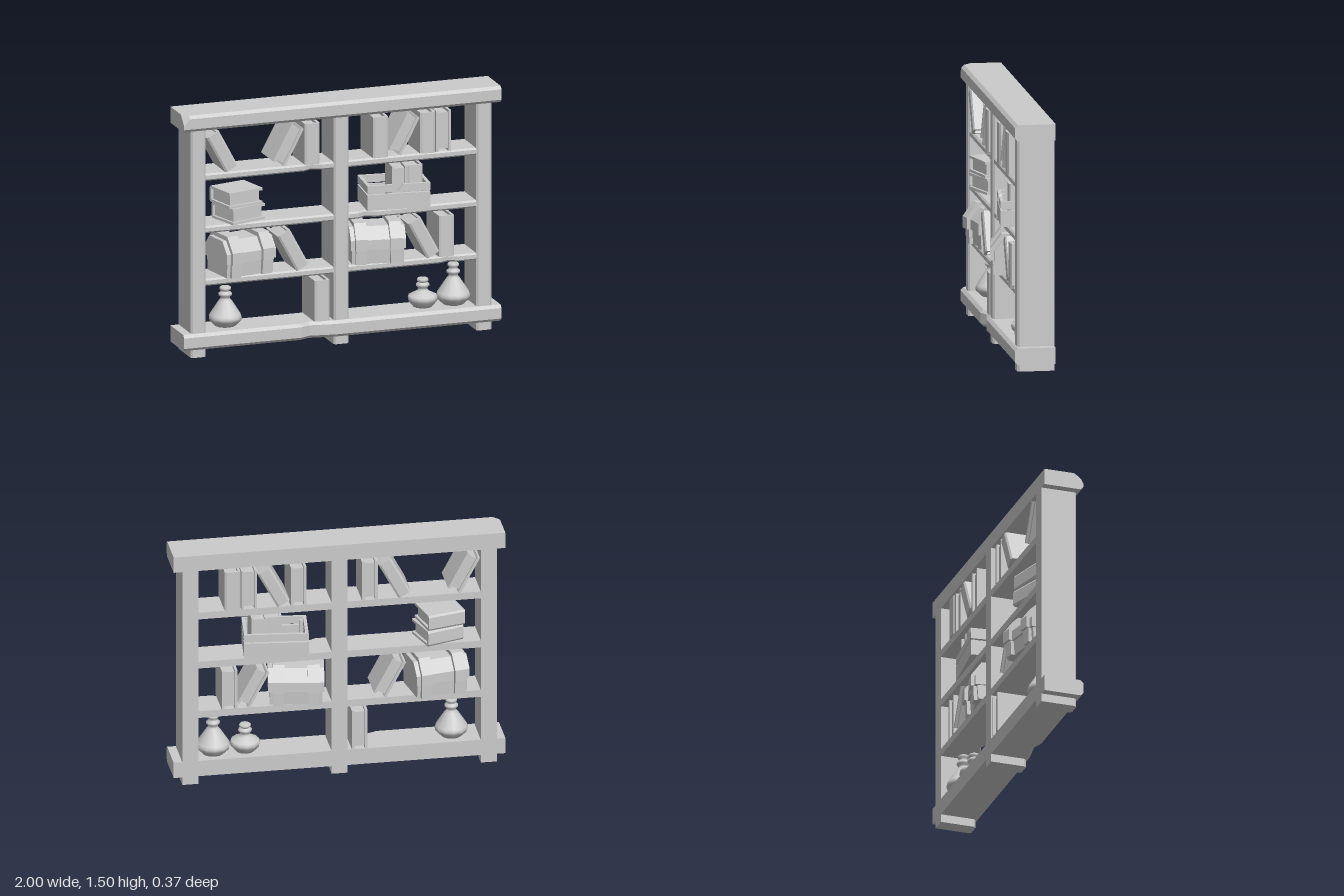
import * as THREE from 'three';

const flat = new THREE.MeshStandardMaterial({ color: 0xcccccc, flatShading: true });
const smooth = new THREE.MeshStandardMaterial({ color: 0xcccccc });

function add(parent, name, geometry, x = 0, y = 0, z = 0, material = flat) {
  const mesh = new THREE.Mesh(geometry, material);
  mesh.name = name;
  mesh.position.set(x, y, z);
  parent.add(mesh);
  return mesh;
}

// Beam along x with chamfered front edges; stations are [x, dent depth, top chamfer]
function beamGeometry(stations, height, back, front, c) {
  const h = height / 2;
  const rings = stations.map(([x, dent = 0, top = c]) => {
    const f = front - dent;
    return [[-h, back], [h, back], [h, f - top], [h - top, f], [-h + c, f], [-h, f - c]]
      .map(([y, z]) => [x, y, z]);
  });
  const out = [];
  const n = 6;
  for (let i = 0; i + 1 < rings.length; i++) {
    const a = rings[i], b = rings[i + 1];
    for (let j = 0; j < n; j++) {
      const k = (j + 1) % n;
      out.push(...a[j], ...a[k], ...b[k], ...a[j], ...b[k], ...b[j]);
    }
  }
  const first = rings[0], last = rings[rings.length - 1];
  for (let j = 1; j < n - 1; j++) {
    out.push(...last[0], ...last[j], ...last[j + 1]);
    out.push(...first[0], ...first[j + 1], ...first[j]);
  }
  const g = new THREE.BufferGeometry();
  g.setAttribute('position', new THREE.Float32BufferAttribute(out, 3));
  g.computeVertexNormals();
  return g;
}

// Extrusion centred on its own depth
function slab(points, depth) {
  const shape = new THREE.Shape(points.map(([x, y]) => new THREE.Vector2(x, y)));
  return new THREE.ExtrudeGeometry(shape, { depth, bevelEnabled: false }).translate(0, 0, -depth / 2);
}

// Book standing upright, spine at the back, page edges at the front
function book(w = 0.095, h = 0.252, d = 0.225) {
  const group = new THREE.Group();
  group.name = 'book';
  const t = 0.016, x = w / 2, z = d / 2;
  const cover = slab([[-x, -z], [-x + t, -z], [-x + t, z - t], [x - t, z - t], [x - t, -z],
    [x, -z], [x, z - 0.008], [x - 0.012, z], [-x + 0.012, z], [-x, z - 0.008]], h);
  add(group, 'bookCover', cover.rotateX(-Math.PI / 2));
  add(group, 'bookPages', new THREE.BoxGeometry(w - 2 * t, h - 0.03, d - t - 0.014), 0, 0, -0.001);
  return group;
}

// Mirrored outline from right-hand points
const mirrored = (pts) => [...pts, ...pts.slice().reverse().map(([x, y]) => [-x, y])];

function chest() {
  const group = new THREE.Group();
  group.name = 'chest';
  const body = [[0.115, 0], [0.122, 0.095]];
  const lid = [[0.135, 0.09], [0.135, 0.15], [0.078, 0.222]];
  const lowerStrap = [[0.138, 0], [0.142, 0.095]];
  const upperStrap = [[0.157, 0.09], [0.157, 0.16], [0.092, 0.248]];
  const piece = (name, pts, width, x) =>
    add(group, name, slab(mirrored(pts), width).rotateY(Math.PI / 2), x);
  piece('chestBody', body, 0.315, 0);
  piece('chestLid', lid, 0.335, 0);
  for (const s of [-1, 1]) {
    piece('chestLowerStrap', lowerStrap, 0.062, s * 0.105);
    piece('chestLidStrap', upperStrap, 0.072, s * 0.105);
  }
  return group;
}

function crate() {
  const group = new THREE.Group();
  group.name = 'crate';
  const w = 0.385, d = 0.26, t = 0.02, x = w / 2;
  add(group, 'crateFloor', new THREE.BoxGeometry(w - t, 0.015, d - t), 0, 0.012, 0);
  // Two rows of slats, with a broken notch in the upper front one
  for (const [y0, y1] of [[0, 0.096], [0.106, 0.152]]) {
    const h = y1 - y0, y = (y0 + y1) / 2;
    for (const s of [-1, 1]) {
      add(group, 'crateEndSlat', new THREE.BoxGeometry(t, h, d - 2 * t), s * (x - t / 2), y, 0);
    }
    add(group, 'crateBackSlat', new THREE.BoxGeometry(w, h, t), 0, y, -(d - t) / 2);
    const notch = y0 > 0 ? [[0.03, y1], [-0.005, y0 + 0.005], [-0.04, y1]] : [];
    add(group, 'crateFrontSlat', slab([[-x, y0], [x, y0], [x, y1], ...notch, [-x, y1]], t), 0, 0, (d - t) / 2);
  }
  // Inner corner battens
  for (const sx of [-1, 1]) for (const sz of [-1, 1]) {
    add(group, 'crateBatten', new THREE.BoxGeometry(0.025, 0.13, 0.025), sx * (x - 0.03), 0.07, sz * (d / 2 - 0.03));
  }
  return group;
}

// Flask: belly and shoulder, then a neck with a collar and a stopper
function flask(radius, bellyY, neckY, top) {
  const pts = [[0, 0], [radius * 0.62, 0], [radius * 0.97, bellyY - 0.018], [radius, bellyY],
    [radius * 0.94, bellyY + 0.016], [0.04, neckY - 0.012], [0.029, neckY], [0.029, neckY + 0.012], [0.041, neckY + 0.022],
    [0.041, neckY + 0.034], [0.027, neckY + 0.044], [0.027, top - 0.024], [0.035, top - 0.017],
    [0.035, top - 0.006], [0.028, top], [0, top]];
  return new THREE.LatheGeometry(pts.map(([r, y]) => new THREE.Vector2(r, y)), 12);
}

export function createModel() {
  const model = new THREE.Group();
  model.name = 'bookcase';
  const back = -0.105;

  // Top and bottom boards, one with a chipped corner and one with a worn front edge
  add(model, 'topBoard', beamGeometry([[-1, 0, 0.06], [-0.963], [1]], 0.1, back, 0.14, 0.018), 0, 1.45, 0);
  add(model, 'bottomBoard', beamGeometry([[-1], [-0.26], [-0.2, 0.025], [-0.04], [1]], 0.1, back, 0.14, 0.018), 0, 0.1, 0);

  // Posts
  for (const x of [-0.9, 0, 0.9]) {
    add(model, 'post', beamGeometry([[0], [1.41]], 0.096, back, 0.117, 0.012), x, 0, 0).rotation.z = Math.PI / 2;
  }

  // Shelves, some with a dent in the front edge: [x centre, y centre, dent x]
  for (const [x, y, dent] of [[-0.45, 1.103, -0.18], [0.45, 1.103], [-0.45, 0.78], [0.45, 0.78, 0.16],
    [-0.45, 0.455], [0.45, 0.455, 0.68]]) {
    const dents = dent === undefined ? [] : [[dent - x - 0.05], [dent - x, 0.025], [dent - x + 0.06]];
    add(model, 'shelf', beamGeometry([[-0.41], ...dents, [0.41]], 0.044, back, 0.108, 0.01), x, y, 0);
  }

  // Books: [x, y centre, z, tilt, spine to front, yaw]
  const lean = 0.49;
  for (const [x, y, z, tilt, spineFront, yaw = 0] of [
    [-0.75, 1.256, 0.005, lean, 0], [-0.333, 1.256, 0, -lean, 1], [-0.183, 1.251, 0.005, 0, 0],
    [0.247, 1.251, 0.005, 0, 0], [0.397, 1.256, 0, -lean, 1], [0.545, 1.251, 0.005, 0, 0],
    [0.645, 1.251, 0, 0, 1],
    [-0.303, 0.605, 0.005, lean, 0], [0.52, 0.605, 0.005, lean, 0], [0.663, 0.603, 0.005, 0, 0],
    [-0.122, 0.277, 0.005, 0, 0],
    [0.385, 0.927, 0, 0, 1, -0.11], [0.477, 0.927, 0.0, 0, 0, -0.05],
  ]) {
    const b = book(tilt ? 0.085 : 0.095, 0.252, y > 0.9 && y < 1 ? 0.19 : 0.225);
    b.position.set(x, y, z);
    b.rotation.set(0, yaw + (spineFront ? 0 : Math.PI), spineFront ? tilt : -tilt);
    model.add(b);
  }

  // Two books lying flat
  for (const [x, y, yaw] of [[-0.61, 0.85, 0.3], [-0.623, 0.95, 0.24]]) {
    const b = book(0.098, 0.235, 0.215);
    b.rotation.z = Math.PI / 2;
    const pile = new THREE.Group();
    pile.name = 'lyingBook';
    pile.add(b);
    pile.position.set(x, y, 0);
    pile.rotation.y = yaw;
    model.add(pile);
  }

  // Chests and crate
  for (const [object, x, y, z, yaw] of [[chest(), -0.595, 0.476, -0.006, 0.18],
    [chest(), 0.245, 0.476, 0.006, -0.15], [crate(), 0.37, 0.802, 0.002, -0.11]]) {
    object.position.set(x, y, z);
    object.rotation.y = yaw;
    model.add(object);
  }

  // Flasks
  add(model, 'tallFlask', flask(0.1, 0.053, 0.165, 0.24), -0.692, 0.15, 0, smooth);
  add(model, 'tallFlask', flask(0.103, 0.055, 0.17, 0.25), 0.745, 0.15, 0, smooth);
  add(model, 'shortFlask', flask(0.09, 0.055, 0.105, 0.175), 0.552, 0.15, 0, smooth);

  return model;
}
